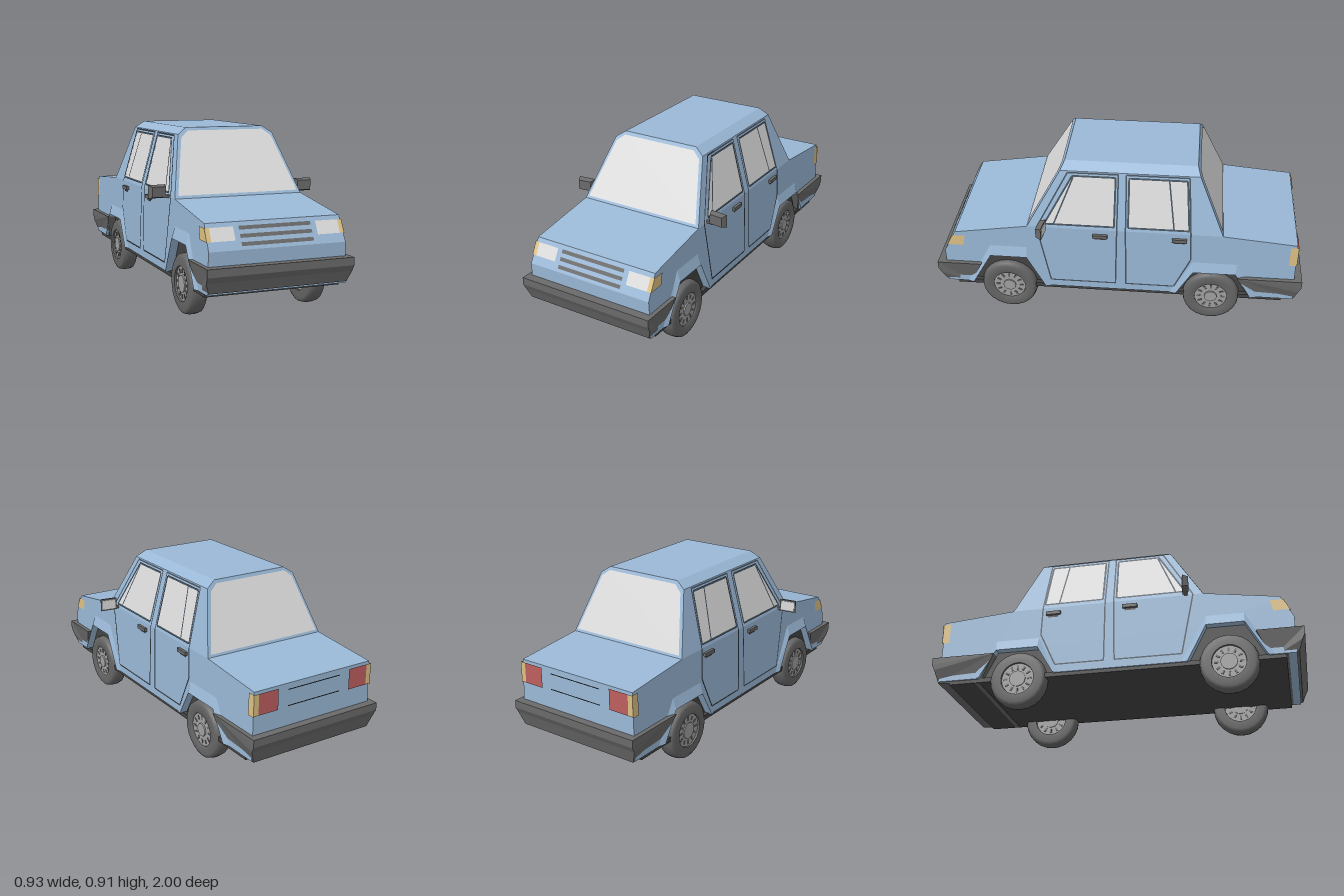
import * as THREE from 'three';

const mat = (name, color) => {
  const m = new THREE.MeshStandardMaterial({ color, side: THREE.DoubleSide });
  m.name = name;
  return m;
};

export function createModel() {
  const car = new THREE.Group();
  car.name = 'sedan';
  const paint = mat('bluePaint', 0x9ab8d6);
  const glass = mat('paleGlass', 0xdcdcdc);
  const plastic = mat('greyPlastic', 0x6a6a6a);
  const under = mat('darkUnderside', 0x444444);
  const rubber = mat('tyreRubber', 0x666666);
  const metal = mat('wheelMetal', 0xa2a2a2);
  const amber = mat('amberLens', 0xdcc083);
  const red = mat('redLens', 0xbe5f5f);
  const seam = mat('seamLine', 0x46525e);

  const add = (name, geo, material, parent = car) => {
    const mesh = new THREE.Mesh(geo, material);
    mesh.name = name;
    parent.add(mesh);
    return mesh;
  };

  // Side profile [z, y] stretched across x, with half width given by a rule of y
  const across = (profile, halfWidth) => {
    const shape = new THREE.Shape(profile.map(([z, y]) => new THREE.Vector2(z, y)));
    const geo = new THREE.ExtrudeGeometry(shape, { depth: 2, bevelEnabled: false });
    geo.rotateY(-Math.PI / 2).translate(1, 0, 0);
    const p = geo.attributes.position;
    for (let i = 0; i < p.count; i++) p.setX(i, Math.sign(p.getX(i)) * halfWidth(p.getY(i)));
    geo.computeVertexNormals();
    return geo;
  };

  // Flat-shaded surface from a list of convex polygons
  const faces = (polys) => {
    const v = [];
    for (const q of polys)
      for (let i = 1; i < q.length - 1; i++) v.push(...q[0], ...q[i], ...q[i + 1]);
    const geo = new THREE.BufferGeometry();
    geo.setAttribute('position', new THREE.Float32BufferAttribute(v, 3));
    geo.computeVertexNormals();
    return geo;
  };

  // Surface rules
  const bodyX = (y) => 0.356 + (0.572 - y) * 0.03;
  const sideX = (y) => (y < 0.572 ? bodyX(y) : 0.356 - (y - 0.572) * 0.27);
  const noseZ = (y) => 0.955 - Math.max(0, y - 0.385) * 0.52;
  const frontGlassZ = (y) => 0.49 - (y - 0.572) * 0.575;
  const rearGlassZ = (y) => -0.56 + (y - 0.572) * 0.431;

  // Lower body with wheel cut-outs
  const frontArch = [[0.40, 0.18], [0.50, 0.375], [0.70, 0.375], [0.81, 0.18]];
  const rearArch = [[-0.73, 0.18], [-0.64, 0.335], [-0.41, 0.335], [-0.32, 0.18]];
  add('lowerBody', across([
    [0.953, 0.18], [0.953, 0.31], [0.955, 0.385], [0.89, 0.51], [0.49, 0.572], [-0.56, 0.572],
    [-0.955, 0.537], [-0.96, 0.18], ...rearArch, ...frontArch], bodyX), paint);
  add('frontWheelWell', across(frontArch, () => 0.335), under);
  add('rearWheelWell', across(rearArch, () => 0.335), under);
  add('floorPan', across([[0.9, 0.16], [0.9, 0.185], [-0.9, 0.185], [-0.9, 0.16]], () => 0.36), under);

  // Cabin: three rectangular rings, bottom to top
  const rings = [[0.572, 0.356], [0.885, 0.2715], [0.92, 0.22]].map(([y, x]) => [
    [x, y, frontGlassZ(y)], [x, y, rearGlassZ(y)], [-x, y, rearGlassZ(y)], [-x, y, frontGlassZ(y)]]);
  const cabin = [rings[2]];
  for (let r = 0; r < 2; r++)
    for (let i = 0; i < 4; i++) {
      const j = (i + 1) % 4;
      cabin.push([rings[r][i], rings[r][j], rings[r + 1][j], rings[r + 1][i]].reverse());
    }
  add('cabin', faces(cabin), paint);

  // Windscreen and rear window
  const pane = [[0.336, 0.585], [0.258, 0.868], [0.215, 0.902], [-0.215, 0.902], [-0.258, 0.868], [-0.336, 0.585]];
  add('windscreen', faces([pane.map(([x, y]) => [x, y + 0.002, frontGlassZ(y) + 0.004])]), glass);
  add('rearWindow', faces([pane.map(([x, y]) => [x, y + 0.002, rearGlassZ(y) - 0.004]).reverse()]), glass);

  // Bumpers
  const bumperX = (y) => (y > 0.25 ? 0.387 : 0.387 - (0.25 - y) * 0.36);
  add('frontBumper', across([[0.755, 0.315], [1, 0.315], [1, 0.275], [0.985, 0.245], [0.965, 0.19], [0.83, 0.165]], bumperX), plastic);
  add('rearBumper', across([[-0.65, 0.315], [-1, 0.315], [-1, 0.275], [-0.985, 0.245], [-0.965, 0.175], [-0.73, 0.158]], bumperX), plastic);

  // Plates lying on the nose and tail
  const nosePlate = (x0, x1, y0, y1, o = 0.004) => faces([
    [[x0, y0], [x1, y0], [x1, y1], [x0, y1]].map(([x, y]) => [x, y, noseZ(y) + o])]);
  const tailPlate = (x0, x1, y0, y1) => faces([
    [[x1, y0], [x0, y0], [x0, y1], [x1, y1]].map(([x, y]) => [x, y, -0.963])]);
  for (const y of [0.402, 0.438, 0.474]) add('grilleBar', nosePlate(-0.19, 0.19, y, y + 0.017), plastic);
  for (const y of [0.42, 0.505]) add('plateRecessEdge', tailPlate(-0.16, 0.16, y, y + 0.005), seam);

  // Wheel parts, axis along x
  const tyreGeo = new THREE.LatheGeometry([
    [0.09, -0.045], [0.135, -0.045], [0.15, -0.036], [0.155, -0.015], [0.155, 0.015],
    [0.15, 0.036], [0.135, 0.045], [0.09, 0.045], [0.088, 0.03], [0.088, -0.03], [0.09, -0.045],
  ].map(([r, h]) => new THREE.Vector2(r, h)), 24).rotateZ(-Math.PI / 2);
  const rimGeo = new THREE.CylinderGeometry(0.09, 0.09, 0.07, 24).rotateZ(-Math.PI / 2);
  const capGeo = new THREE.CylinderGeometry(0.035, 0.045, 0.084, 12).rotateZ(-Math.PI / 2);
  const slotGeo = new THREE.BoxGeometry(0.076, 0.022, 0.01);

  for (const s of [1, -1]) {
    const side = new THREE.Group();
    side.name = s > 0 ? 'leftSide' : 'rightSide';
    car.add(side);
    const at = (z, y, o) => [s * (sideX(y) + o), y, z];
    const plate = (pts, o) => faces([pts.map(([z, y]) => at(z, y, o))]);

    // Thin line following the side surface through [z, y] points
    const line = (name, pts, w = 0.004, o = 0.004) => {
      const polys = [];
      for (let i = 0; i < pts.length - 1; i++) {
        const [a, b] = [pts[i], pts[i + 1]];
        const len = Math.hypot(b[0] - a[0], b[1] - a[1]);
        const [dz, dy] = [(-(b[1] - a[1]) / len) * w, ((b[0] - a[0]) / len) * w];
        polys.push([[a[0] + dz, a[1] + dy], [b[0] + dz, b[1] + dy], [b[0] - dz, b[1] - dy], [a[0] - dz, a[1] - dy]]
          .map(([z, y]) => at(z, y, o)));
      }
      add(name, faces(polys), seam, side);
    };

    // Door windows with frames and divider bars
    const frontPane = [[0.395, 0.595], [0.245, 0.862], [0.016, 0.862], [0.02, 0.595]];
    const rearPane = [[-0.055, 0.595], [-0.055, 0.862], [-0.36, 0.862], [-0.38, 0.595]];
    for (const p of [frontPane, rearPane]) {
      add('doorWindow', plate(p, 0.003), glass, side);
      line('windowFrame', [...p, p[0]], 0.005, 0.005);
    }
    line('frontWindowDivider', [[0.345, 0.595], [0.24, 0.855]], 0.004, 0.006);
    line('rearWindowDivider', [[-0.3, 0.595], [-0.265, 0.862]], 0.004, 0.006);

    // Door seams
    line('frontDoorSeam', [[0.27, 0.878], [0.437, 0.572], [0.37, 0.225], [0.012, 0.225], [0.005, 0.572], [0.002, 0.878], [0.27, 0.878]]);
    line('rearDoorSeam', [[-0.04, 0.878], [-0.042, 0.572], [-0.045, 0.225], [-0.31, 0.225], [-0.395, 0.41], [-0.39, 0.572], [-0.37, 0.878], [-0.04, 0.878]]);

    // Door handles
    for (const z of [0.095, -0.33]) {
      add('doorHandle', new THREE.BoxGeometry(0.018, 0.02, 0.08), plastic, side)
        .position.set(s * (sideX(0.535) + 0.006), 0.535, z);
      add('handleRecess', plate([[z + 0.03, 0.512], [z + 0.03, 0.524], [z - 0.03, 0.524], [z - 0.03, 0.512]], 0.003), under, side);
    }

    // Flared wheel arches: sloped outer band and inner return
    const flare = (name, outer, inner) => {
      const polys = [];
      for (let i = 0; i < 3; i++) {
        const [a, b, c, d] = [outer[i], outer[i + 1], inner[i + 1], inner[i]];
        const lip = ([z, y]) => [s * 0.379, y, z];
        const skin = ([z, y]) => [s * (bodyX(y) - 0.002), y, z];
        const back = ([z, y]) => [s * 0.33, y, z];
        polys.push([skin(a), skin(b), lip(c), lip(d)], [lip(d), lip(c), back(c), back(d)]);
      }
      add(name, faces(polys), paint, side);
    };
    flare('frontArchFlare', [[0.36, 0.18], [0.50, 0.44], [0.70, 0.44], [0.85, 0.18]], frontArch);
    flare('rearArchFlare', [[-0.78, 0.18], [-0.645, 0.40], [-0.405, 0.40], [-0.28, 0.18]], rearArch);

    // Lamps, with amber lenses wrapping the corners
    add('headlamp', nosePlate(s * 0.218, s * 0.34, 0.428, 0.49), glass, side);
    add('frontIndicator', nosePlate(s * 0.34, s * 0.364, 0.428, 0.49), amber, side);
    add('frontIndicatorSide', plate([[0.937, 0.428], [0.905, 0.49], [0.835, 0.49], [0.85, 0.428]], 0.004), amber, side);
    add('tailLamp', tailPlate(s * 0.22, s * 0.335, 0.415, 0.525), red, side);
    add('rearIndicator', tailPlate(s * 0.335, s * 0.364, 0.415, 0.525), amber, side);
    add('rearIndicatorSide', plate([[-0.92, 0.41], [-0.92, 0.525], [-0.962, 0.525], [-0.962, 0.41]], 0.004), amber, side);

    // Door mirror
    const mirror = new THREE.Group();
    mirror.name = 'doorMirror';
    mirror.position.set(s * 0.417, 0.602, 0.405);
    mirror.rotation.y = s * -0.12;
    side.add(mirror);
    const shell = new THREE.CylinderGeometry(0.052, 0.068, 0.032, 4, 1).rotateY(Math.PI / 4).rotateX(Math.PI / 2);
    add('mirrorShell', shell.scale(1, 0.72, 1).toNonIndexed(), plastic, mirror).geometry.computeVertexNormals();
    add('mirrorGlass', new THREE.BoxGeometry(0.078, 0.052, 0.004), glass, mirror).position.z = -0.017;
    add('mirrorArm', new THREE.BoxGeometry(0.05, 0.014, 0.02), plastic, mirror).position.set(s * -0.05, -0.026, 0);

    // Wheels
    for (const [name, z] of [['frontWheel', 0.61], ['rearWheel', -0.515]]) {
      const wheel = new THREE.Group();
      wheel.name = name;
      wheel.position.set(s * 0.326, 0.163, z);
      side.add(wheel);
      add('tyre', tyreGeo, rubber, wheel);
      add('rim', rimGeo, metal, wheel);
      add('hubCap', capGeo, metal, wheel);
      for (let i = 0; i < 12; i++) {
        const a = (i / 12) * Math.PI * 2;
        const slot = add('rimSlot', slotGeo, plastic, wheel);
        slot.position.set(0, Math.cos(a) * 0.066, Math.sin(a) * 0.066);
        slot.rotation.x = a;
      }
    }
  }
  return car;
}
